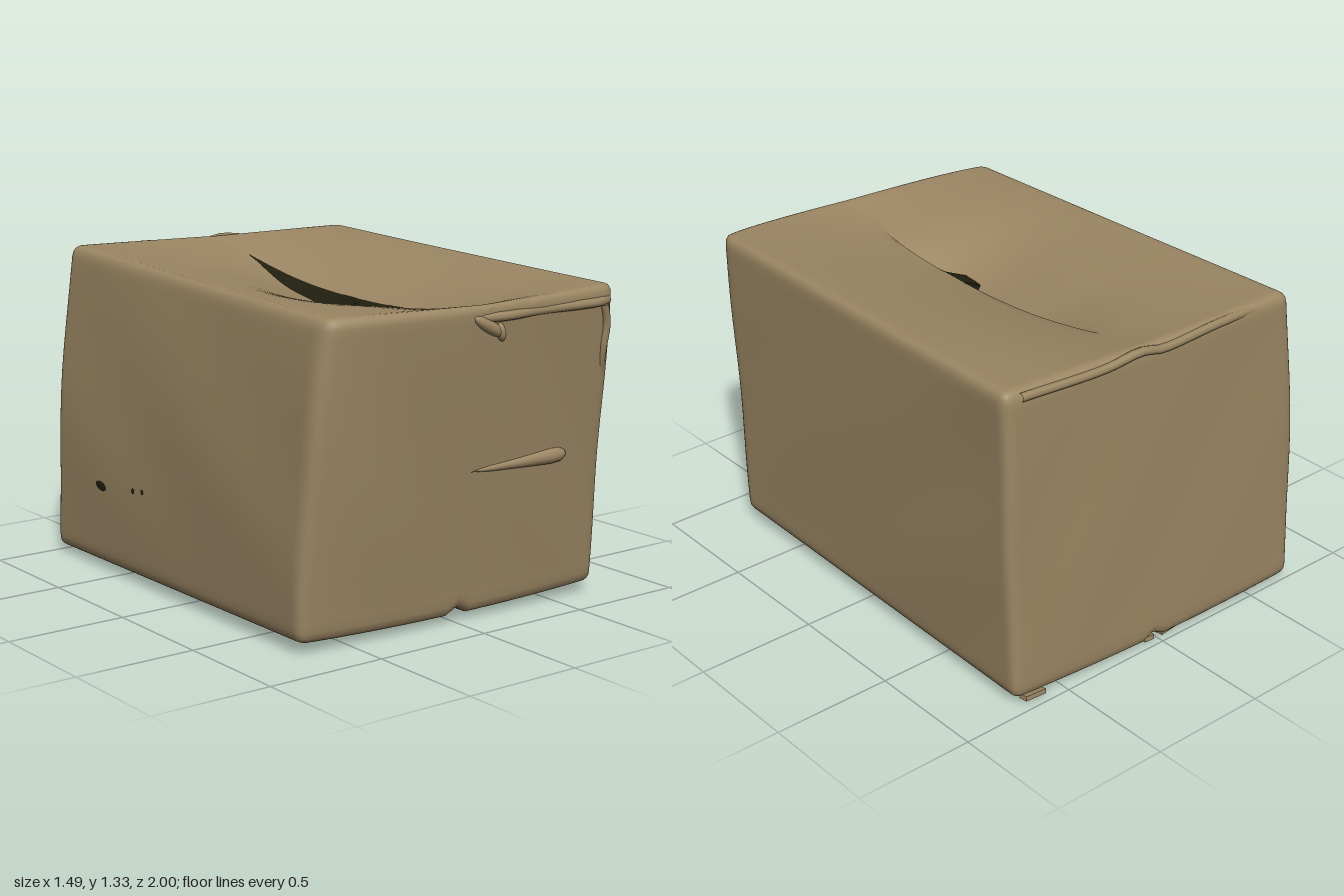
import * as THREE from 'three';
import { mergeVertices, toCreasedNormals } from 'three/addons/utils/BufferGeometryUtils.js';

const { lerp, clamp, smoothstep } = THREE.MathUtils;
const W = 41, H = 28, D = 60; // grid cells; W is odd so the middle column is the seam

// Corners of the crooked box, indexed by x + 2y + 4z (low, high)
const CORNERS = [
  [-0.715, 0.02, -1.005], [0.73, 0.02, -0.955], [-0.625, 1.325, -0.985], [0.755, 1.32, -0.915],
  [-0.735, 0.04, 0.81], [0.715, 0.04, 0.84], [-0.675, 1.26, 0.87], [0.68, 1.28, 0.94],
].map((c) => new THREE.Vector3(...c));

// Edges of the top seam, in box coordinates (-1..1), at depth z
function seam(z) {
  const right = 0.034 + 0.018 * (1 - z * z);
  const open = smoothstep(z, -0.76, -0.25) * (1 - smoothstep(z, 0.3, 0.66));
  const tear = smoothstep(z, 0.14, 0.21) * (1 - smoothstep(z, 0.31, 0.36));
  const straight = right - 0.006 - 0.06 * open;
  return { open, straight, left: straight - 0.1 * tear, right };
}

// Maps box coordinates to the sagging, bulging cardboard surface
function surface(X, Y, Z) {
  const p = new THREE.Vector3();
  CORNERS.forEach((c, i) => {
    const w = [X, Y, Z].reduce((a, v, k) => a * (i >> k & 1 ? 1 + v : 1 - v) / 2, 1);
    p.addScaledVector(c, w);
  });
  const ix = Math.max(0, 1 - X * X), iy = Math.max(0, 1 - Y * Y), iz = Math.max(0, 1 - Z * Z);
  // bulging walls with slight dents; the front leans out towards its top
  p.x += X * iy * iz * 0.01 + (X < 0 ? 0.025 * iy * X : 0);
  p.z += Z > 0 ? (0.042 + 0.03 * Y) * Z * Math.pow(ix, 0.35) : 0.006 * Z * ix;
  p.z += 0.004 * Math.sin(X * 6 + Y * 3) * iy * Z;
  p.x += 0.004 * Math.sin(Z * 5 + Y * 4) * iy * X;
  const e = seam(Z);
  if (Y > 0.9) { // flaps sink towards the seam, the -x flap deeper
    const left = X < (e.left + e.right) / 2;
    const k = clamp(left ? (X + 1) / (e.straight + 1) : (1 - X) / (1 - e.right), 0, 1);
    const dip = 0.125 * Math.pow(iz, 0.9) * (1 + 0.25 * Z);
    const extra = left ? 0.035 * e.open + 0.05 * Math.exp(-(((Z - 0.22) / 0.28) ** 2)) : 0;
    p.y -= dip * Math.pow(k, 1.4) + extra * k * k;
    p.y += 0.004 * Math.sin(X * 7 + Z * 5) * ix * iz;
  } else if (Y < -0.9) { // underside: flaps bulge, with a narrow groove at the seam
    p.y -= 0.018 * ix;
    if (Math.abs(X - 0.03) < 0.011) p.y += 0.025;
  }
  return p;
}

// Box shell: edges rounded, then bent; the open part of the seam is a second material
function shellGeometry() {
  let g = new THREE.BoxGeometry(2, 2, 2, W, H, D);
  const pos = g.attributes.position, idx = g.index.array;
  const plain = [], gap = [];
  for (let i = 0; i < idx.length; i += 3) {
    const tri = [idx[i], idx[i + 1], idx[i + 2]];
    const inSeam = tri.every((v) => pos.getY(v) > 0.999 && Math.abs(pos.getX(v)) < 1.5 / W);
    const z = tri.reduce((a, v) => a + pos.getZ(v) / 3, 0);
    (inSeam && seam(z).open > 0.08 ? gap : plain).push(i / 3);
  }
  const half = new THREE.Vector3(0.7, 0.64, 0.93), R = 0.04;
  const ease = (k) => 0.4 * k + 0.6 * Math.sin(k * Math.PI / 2);
  const v = new THREE.Vector3(), inner = new THREE.Vector3();
  for (let i = 0; i < pos.count; i++) {
    v.fromBufferAttribute(pos, i);
    const s = v.x, az = Math.abs(v.z);
    const Z = Math.sign(v.z) * lerp(az, ease(az), smoothstep(az, 0.6, 0.8));
    const Y = Math.sign(v.y) * ease(Math.abs(v.y));
    const e = seam(Z), up = (Y + 1) / 2;
    const edge = s < 0 ? lerp(0.02, e.left, up) : lerp(0.04, e.right, up);
    const k = clamp((Math.abs(s) - 1 / W) / (1 - 1 / W), 0, 1);
    v.set(lerp(edge, Math.sign(s), ease(k)), Y, Z).multiply(half);
    inner.copy(v);
    ['x', 'y', 'z'].forEach((a) => { inner[a] = clamp(v[a], R - half[a], half[a] - R); });
    v.sub(inner).setLength(R).add(inner).divide(half);
    const p = surface(v.x, v.y, v.z);
    pos.setXYZ(i, p.x, p.y, p.z);
  }
  g.deleteAttribute('uv');
  g.deleteAttribute('normal');
  g.clearGroups();
  g = mergeVertices(g, 1e-5);
  const src = g.index.array, out = [];
  [...plain, ...gap].forEach((t) => out.push(src[t * 3], src[t * 3 + 1], src[t * 3 + 2]));
  g.setIndex(out);
  g.addGroup(0, plain.length * 3, 0);
  g.addGroup(plain.length * 3, gap.length * 3, 1);
  return toCreasedNormals(g, 0.7);
}

export function createModel() {
  const cardboard = new THREE.MeshStandardMaterial({ color: 0x9b8663 });
  cardboard.name = 'cardboard';
  const darkness = new THREE.MeshStandardMaterial({ color: 0x211f0f });
  darkness.name = 'dark interior';
  const model = new THREE.Group();
  const add = (name, geometry, material, at, rot = [0, 0, 0], scale = [1, 1, 1]) => {
    const m = new THREE.Mesh(geometry, material);
    m.name = name;
    m.position.set(...at);
    m.rotation.set(...rot);
    m.scale.set(...scale);
    model.add(m);
  };

  add('boxShell', shellGeometry(), [cardboard, darkness], [0, 0, 0]);

  // Tapering crease bulging from the front wall
  const crease = [[0, 0], [0.012, 0.1], [0.024, 0.27], [0.032, 0.4], [0.029, 0.45], [0.016, 0.475], [0, 0.48]]
    .map(([r, y]) => new THREE.Vector2(r, y));
  const mid = surface(0.5, -0.05, 1);
  add('frontCrease', new THREE.LatheGeometry(crease, 16), cardboard,
    [0, 0.61, mid.z - 0.007], [0, 0, -Math.PI / 2 + 0.02]);

  // Small torn tongue under the front top edge
  const tongue = new THREE.SphereGeometry(1, 20, 12);
  const tp = surface(0.06, 0.82, 1);
  add('frontTongue', tongue, cardboard, [0.03, 1.175, tp.z], [0, 0, -0.5], [0.085, 0.025, 0.022]);
  add('tongueTip', tongue, cardboard, [0.085, 1.15, tp.z], [0, 0, 0.25], [0.018, 0.038, 0.024]);

  // Crumpled folds along the rear rim, the front lip and the front right corner
  const fold = (name, points, r) => add(name, new THREE.TubeGeometry(
    new THREE.CatmullRomCurve3(points), 32, r, 8), cardboard, [0, 0, 0]);
  fold('rearRim', [[-0.6, 1.295, -0.955], [-0.25, 1.298, -0.96], [0.03, 1.285, -0.955],
    [0.12, 1.302, -0.95], [0.3, 1.285, -0.94], [0.68, 1.29, -0.915]]
    .map((p) => new THREE.Vector3(...p)), 0.018);
  const onFront = (X, Y, out) => surface(X, Y, 1).add(new THREE.Vector3(0, 0, out));
  fold('frontLip', [onFront(-0.3, 0.9, -0.03), onFront(0, 0.9, -0.012), onFront(0.15, 0.9, 0.005),
    onFront(0.4, 0.9, -0.012), onFront(0.85, 0.9, 0.005), onFront(0.95, 0.9, -0.015)], 0.019);
  fold('cornerFold', [onFront(0.9, 0.88, 0), onFront(0.93, 0.75, 0), onFront(0.92, 0.6, -0.004),
    onFront(0.93, 0.4, -0.02)], 0.018);

  // Ragged tabs on the lower rear edge
  [[-0.07, 0.1, 0.012], [0.045, 0.05, 0.01], [0.64, 0.1, 0.018]].forEach(([x, w, y]) =>
    add('rearTab', new THREE.BoxGeometry(w, 0.02, 0.04), cardboard, [x, y, -0.95], [0.1, 0.04, x > 0 ? 0.1 : -0.08]));

  // Small punctures in the -x wall
  [[-0.6, 0.36, 0.05, 0.022], [-0.35, 0.39, 0.012, 0.012], [-0.28, 0.4, 0.01, 0.01]].forEach(([z, y, a, b]) => {
    const p = surface(-1, (y - 0.66) / 0.64, z / 0.95);
    add('puncture', new THREE.SphereGeometry(1, 12, 8), darkness, [p.x, y, z], [0.1, 0, 0], [0.004, b, a]);
  });

  return model;
}
